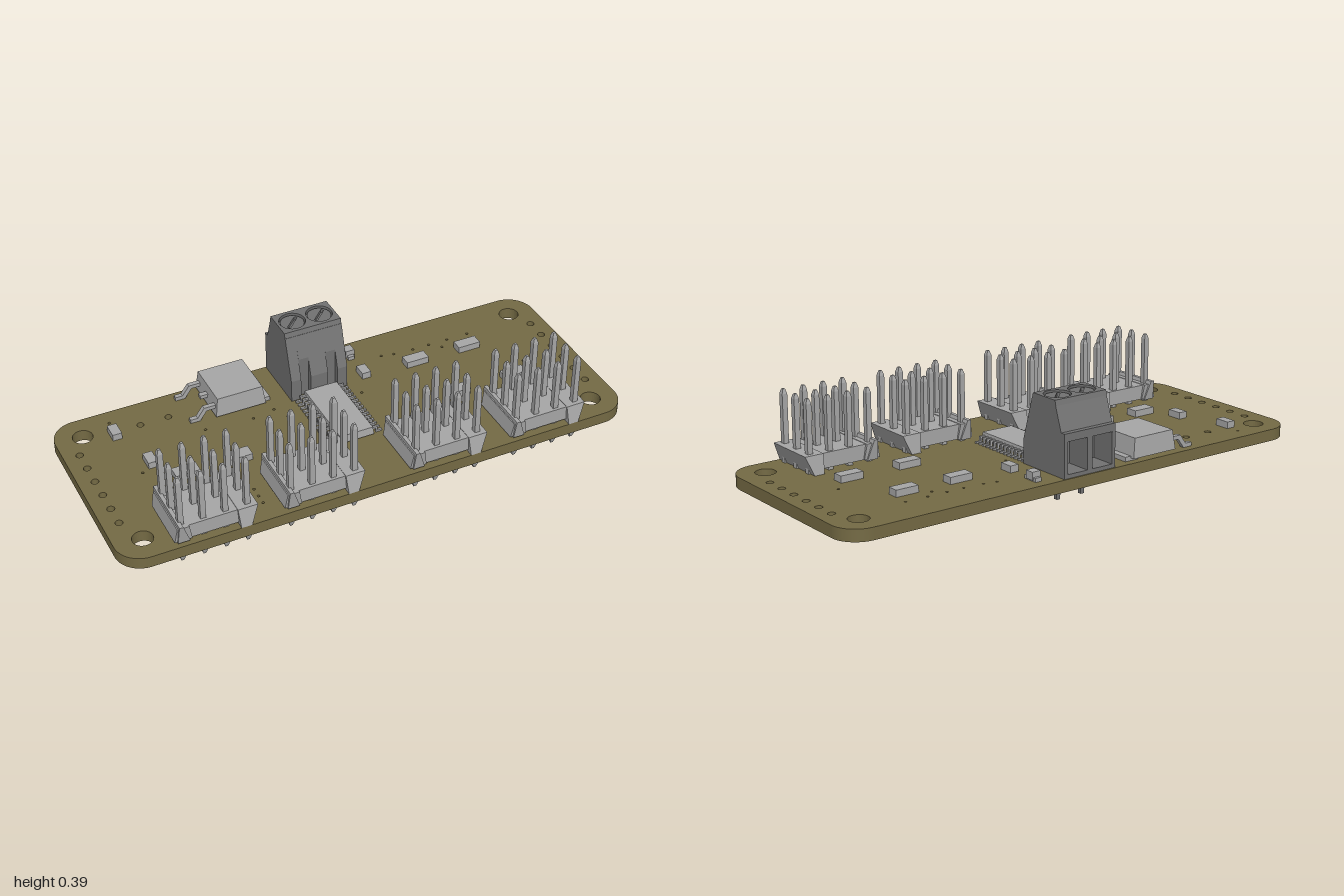
import * as THREE from 'three';

const boardMat = new THREE.MeshStandardMaterial({ name: 'olive board', color: 0x746a44 });
const partMat = new THREE.MeshStandardMaterial({ name: 'light grey parts', color: 0xa6a6a6 });
const darkMat = new THREE.MeshStandardMaterial({ name: 'dark grey plastic', color: 0x727272 });

const BASE = 0.07, TOP = 0.115;

function add(parent, name, geo, mat) {
  const m = new THREE.Mesh(geo, mat);
  m.name = name;
  parent.add(m);
  return m;
}

function block(parent, name, x0, x1, y0, y1, z0, z1, mat = partMat) {
  const g = new THREE.BoxGeometry(x1 - x0, y1 - y0, z1 - z0);
  g.translate((x0 + x1) / 2, (y0 + y1) / 2, (z0 + z1) / 2);
  return add(parent, name, g, mat);
}

// Box whose upper face has its own x and z range
function taper(parent, name, y0, y1, low, high, mat = partMat) {
  let g = new THREE.BoxGeometry(1, 1, 1);
  const p = g.attributes.position;
  for (let i = 0; i < p.count; i++) {
    const r = p.getY(i) > 0 ? high : low;
    p.setXYZ(i, p.getX(i) > 0 ? r[1] : r[0], p.getY(i) > 0 ? y1 : y0, p.getZ(i) > 0 ? r[3] : r[2]);
  }
  g = g.toNonIndexed();
  g.computeVertexNormals();
  return add(parent, name, g, mat);
}

// Shape drawn as (x, -z), extruded upwards from y
function plate(shape, y, h, curveSegments = 16) {
  const g = new THREE.ExtrudeGeometry(shape, { depth: h, bevelEnabled: false, curveSegments });
  return g.rotateX(-Math.PI / 2).translate(0, y, 0);
}

// Profile drawn as (z, y), extruded across x
function slice(points, x0, x1) {
  const s = new THREE.Shape(points.map(p => new THREE.Vector2(p[0], p[1])));
  const g = new THREE.ExtrudeGeometry(s, { depth: x1 - x0, bevelEnabled: false });
  return g.rotateY(-Math.PI / 2).translate(x1, 0, 0);
}

function hole(shape, x, z, r) {
  shape.holes.push(new THREE.Path().absarc(x, -z, r, 0, Math.PI * 2, true));
}

function buildBoard(root) {
  const r = 0.1, zt = 0.405, s = new THREE.Shape();
  s.absarc(1 - r, zt - r, r, 0, Math.PI / 2);
  s.absarc(-1 + r, zt - r, r, Math.PI / 2, Math.PI);
  s.absarc(-1 + r, -zt + r, r, Math.PI, Math.PI * 1.5);
  s.absarc(1 - r, -zt + r, r, Math.PI * 1.5, Math.PI * 2);
  for (const x of [-0.895, 0.895]) {
    for (const z of [-0.305, 0.305]) hole(s, x, z, 0.038);
    for (let i = 0; i < 6; i++) hole(s, Math.sign(x) * 0.94, -0.21 + i * 0.081, 0.014);
  }
  hole(s, -0.68, -0.28, 0.013);
  hole(s, -0.57, -0.28, 0.013);
  const vias = [[-0.78, -0.34], [-0.45, 0.235], [-0.45, 0.275], [-0.45, 0.315], [-0.475, -0.15], [-0.77, -0.02],
    [-0.29, -0.135], [-0.2, -0.15], [-0.17, -0.09], [0.14, -0.1], [0.31, -0.275], [0.36, -0.265], [0.44, -0.26],
    [0.51, -0.26], [0.55, -0.225], [0.59, -0.26], [0.68, -0.26], [0.79, -0.01]];
  for (const [x, z] of vias) hole(s, x, z, 0.005);
  add(root, 'circuitBoard', plate(s, BASE, TOP - BASE), boardMat);
}

// Three by four pin header with a flared carrier
function buildHeader(root, x, pinGeo) {
  const g = new THREE.Group();
  g.name = 'pinHeader';
  g.position.x = x;
  block(g, 'headerBody', -0.11, 0.12, 0.128, 0.185, 0.18, 0.385);
  taper(g, 'headerFlaredEnd', 0.125, 0.2, [-0.145, -0.1, 0.17, 0.395], [-0.14, -0.125, 0.16, 0.405]);
  taper(g, 'headerShoulder', 0.128, 0.187, [-0.155, -0.09, 0.175, 0.39], [-0.145, -0.1, 0.17, 0.395]);
  taper(g, 'headerFoot', TOP, 0.187, [0.085, 0.125, 0.16, 0.405], [0.08, 0.155, 0.172, 0.39]);
  for (let i = 0; i < 4; i++) for (const z of [0.2, 0.282, 0.364]) {
    add(g, 'headerPin', pinGeo, partMat).position.set(-0.123 + i * 0.082, 0, z);
  }
  root.add(g);
}

function buildTerminal(root) {
  const g = new THREE.Group();
  g.name = 'screwTerminal';
  // Cross-sections change where the wire pockets and front grooves lie
  const section = (pocket, groove) => {
    const front = groove ? [[-0.187, TOP], [-0.187, 0.28]] : [[-0.165, TOP], [-0.165, 0.205]];
    const back = pocket
      ? [[-0.38, 0.28], [-0.4, 0.28], [-0.4, 0.25], [-0.3, 0.25], [-0.3, 0.13], [-0.4, 0.13], [-0.4, TOP]]
      : [[-0.38, 0.28], [-0.4, 0.28], [-0.4, TOP]];
    return [...front, [-0.214, 0.37], [-0.349, 0.37], ...back];
  };
  const cuts = [-0.12, -0.105, -0.08, -0.04, -0.017, 0.007, 0.03, 0.07, 0.095, 0.11];
  const kind = [0, 1, 2, 1, 0, 1, 2, 1, 0];
  kind.forEach((k, i) => add(g, 'terminalHousing', slice(section(k > 0, k > 1), cuts[i], cuts[i + 1]), darkMat));

  // Cap with two round screw wells, widened towards its base
  const cap = new THREE.Shape();
  cap.moveTo(-0.12, 0.22).lineTo(0.11, 0.22).lineTo(0.11, 0.345).lineTo(-0.12, 0.345).closePath();
  for (const x of [-0.06, 0.05]) hole(cap, x, -0.2825, 0.05);
  const cg = plate(cap, 0.37, 0.02), p = cg.attributes.position;
  for (let i = 0; i < p.count; i++) {
    if (p.getY(i) < 0.38) p.setZ(i, -0.2825 + (p.getZ(i) + 0.2825) * 1.08);
  }
  cg.computeVertexNormals();
  add(g, 'terminalCap', cg, darkMat);

  // Slotted screws and solder pins
  const head = new THREE.Shape().absarc(0, 0, 0.045, 0, Math.PI * 2);
  const slot = new THREE.Path();
  slot.moveTo(-0.036, -0.006).lineTo(-0.036, 0.006).lineTo(0.036, 0.006).lineTo(0.036, -0.006).closePath();
  head.holes.push(slot);
  for (const x of [-0.06, 0.05]) {
    const screw = add(g, 'terminalScrew', plate(head, 0, 0.013), darkMat);
    screw.position.set(x, 0.37, -0.2825);
    screw.rotation.y = Math.PI / 4;
    taper(g, 'terminalPin', 0, BASE + 0.01, [x - 0.007, x + 0.007, -0.292, -0.276],
      [x - 0.014, x + 0.014, -0.293, -0.275], darkMat);
  }
  root.add(g);
}

function buildChip(root) {
  const g = new THREE.Group();
  g.name = 'driverChip';
  taper(g, 'chipBody', 0.12, 0.15, [-0.072, 0.068, -0.165, 0.147], [-0.068, 0.064, -0.161, 0.143]);
  for (let i = 0; i < 14; i++) {
    const z = -0.15 + i * 0.0216;
    for (const s of [-1, 1]) {
      const at = (name, a, b, y0, y1) => block(g, name, Math.min(s * a, s * b) - 0.002,
        Math.max(s * a, s * b) - 0.002, y0, y1, z - 0.0045, z + 0.0045);
      at('chipLeg', 0.065, 0.09, 0.132, 0.14);
      at('chipLegBend', 0.083, 0.09, TOP, 0.14);
      at('chipLegFoot', 0.083, 0.108, TOP, 0.122);
    }
  }
  root.add(g);
}

function buildRegulator(root) {
  const g = new THREE.Group();
  g.name = 'regulator';
  taper(g, 'regulatorBody', 0.125, 0.2, [-0.415, -0.215, -0.392, -0.188], [-0.405, -0.225, -0.385, -0.195]);
  block(g, 'regulatorTab', -0.25, -0.19, TOP, 0.132, -0.375, -0.21);
  block(g, 'regulatorStub', -0.44, -0.4, 0.152, 0.167, -0.3, -0.28);
  // Cranked leads, drawn as (x, y)
  const lead = new THREE.Shape([[-0.51, TOP], [-0.472, TOP], [-0.445, 0.152], [-0.4, 0.152], [-0.4, 0.167],
    [-0.455, 0.167], [-0.482, 0.13], [-0.51, 0.13]].map(q => new THREE.Vector2(q[0], q[1])));
  for (const z of [-0.365, -0.215]) {
    const geo = new THREE.ExtrudeGeometry(lead, { depth: 0.018, bevelEnabled: false });
    add(g, 'regulatorLead', geo.translate(0, 0, z - 0.009), partMat);
  }
  root.add(g);
}

// Small two-ended components: centre, x size, z size
function buildPassives(root) {
  const list = [[-0.785, -0.265, 0.036, 0.062], [-0.725, -0.06, 0.036, 0.062], [-0.635, 0.057, 0.092, 0.05],
    [-0.432, 0.057, 0.092, 0.05], [0.46, 0.06, 0.092, 0.045], [0.703, 0.06, 0.092, 0.045],
    [0.41, -0.182, 0.092, 0.045], [0.635, -0.182, 0.092, 0.045], [0.197, -0.2, 0.036, 0.055]];
  for (const [x, z, w, d] of list) {
    block(root, 'smallComponent', x - w / 2, x + w / 2, TOP, 0.141, z - d / 2, z + d / 2);
  }
  block(root, 'diodeBody', 0.178, 0.214, 0.12, 0.15, -0.352, -0.315);
  block(root, 'diodeLeads', 0.183, 0.209, TOP, 0.13, -0.364, -0.302);
}

export function createModel() {
  const root = new THREE.Group();
  root.name = 'servoBoard';
  buildBoard(root);

  // Square pin with pointed ends
  const profile = [[0, 0.02], [0.007, 0.02], [0.0145, 0.038], [0.0145, 0.37], [0.007, 0.388], [0, 0.388]];
  let pin = new THREE.LatheGeometry(profile.map(q => new THREE.Vector2(q[0], q[1])), 4, Math.PI / 4);
  pin = pin.toNonIndexed();
  pin.computeVertexNormals();
  for (const x of [-0.655, -0.245, 0.245, 0.655]) buildHeader(root, x, pin);

  buildTerminal(root);
  buildChip(root);
  buildRegulator(root);
  buildPassives(root);
  return root;
}
